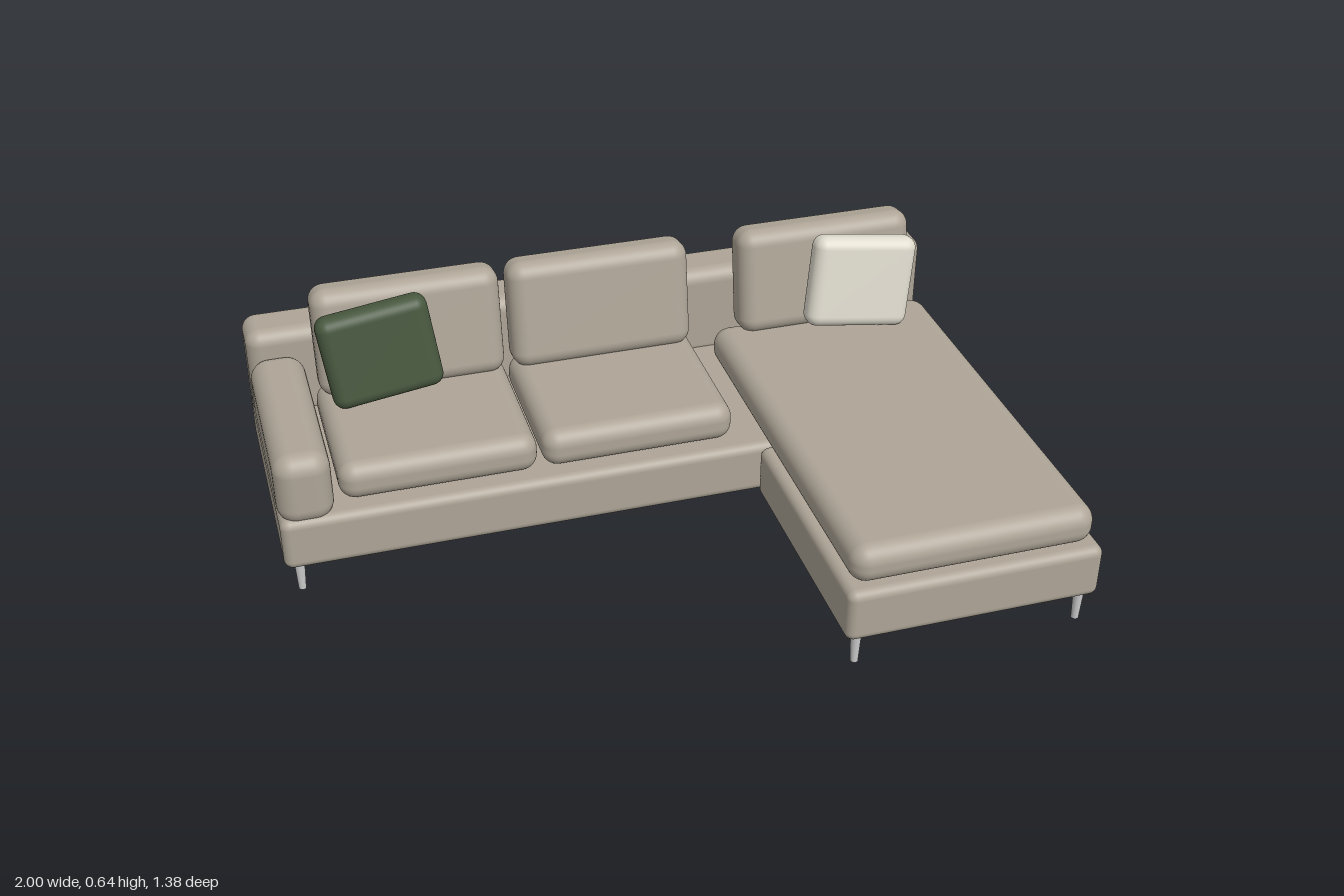
import * as THREE from 'three';
import { RoundedBoxGeometry } from 'three/addons/geometries/RoundedBoxGeometry.js';

const fabric = new THREE.MeshStandardMaterial({ color: 0xaea597 });
const green = new THREE.MeshStandardMaterial({ color: 0x48583f });
const cream = new THREE.MeshStandardMaterial({ color: 0xdedacd });
const grey = new THREE.MeshStandardMaterial({ color: 0xcccccc });

export function createModel() {
  const sofa = new THREE.Group();
  sofa.name = 'cornerSofa';

  function add(name, geometry, material, x, y, z) {
    const mesh = new THREE.Mesh(geometry, material);
    mesh.name = name;
    mesh.position.set(x, y, z);
    sofa.add(mesh);
    return mesh;
  }

  // Upholstered block given by its extents on each axis
  function block(name, [x0, x1], [y0, y1], [z0, z1], radius) {
    const geometry = new RoundedBoxGeometry(x1 - x0, y1 - y0, z1 - z0, 5, radius);
    return add(name, geometry, fabric, (x0 + x1) / 2, (y0 + y1) / 2, (z0 + z1) / 2);
  }

  // Frame
  block('mainBase', [-1, 1], [0.087, 0.24], [-0.69, 0.003], 0.025);
  block('chaiseBase', [0.305, 1], [0.087, 0.24], [0.003, 0.69], 0.025);
  block('backrest', [-1, 1], [0.21, 0.492], [-0.69, -0.54], 0.04);
  block('armrest', [-1, -0.85], [0.215, 0.423], [-0.56, 0], 0.052);

  // Seat cushions
  block('rightSeatCushion', [-0.832, -0.298], [0.238, 0.348], [-0.51, -0.04], 0.045);
  block('middleSeatCushion', [-0.285, 0.249], [0.238, 0.348], [-0.51, -0.04], 0.045);
  block('chaiseCushion', [0.32, 0.98], [0.238, 0.348], [-0.485, 0.67], 0.048);

  // Back cushions, leaning backwards
  const backGeometry = new RoundedBoxGeometry(0.52, 0.312, 0.118, 5, 0.045);
  [['right', -0.563], ['middle', -0.02], ['left', 0.65]].forEach(([side, x]) => {
    const cushion = add(side + 'BackCushion', backGeometry, fabric, x, 0.487, -0.475);
    cushion.rotation.x = -0.15;
  });

  // Loose pillows, leaning on the back cushions and turned in their own plane
  const pillowGeometry = new RoundedBoxGeometry(0.308, 0.268, 0.08, 5, 0.034);
  [['greenPillow', green, -0.658, 0.13], ['creamPillow', cream, 0.73, -0.14]].forEach(([name, material, x, roll]) => {
    const pillow = add(name, pillowGeometry, material, x, 0.493, -0.368);
    pillow.rotation.set(-0.15, 0, roll);
  });

  // Tapered legs
  const legGeometry = new THREE.CylinderGeometry(0.015, 0.01, 0.1, 20);
  [[-0.96, -0.652], [0.96, -0.652], [-0.96, -0.036], [0.343, 0.655], [0.96, 0.655]].forEach(([x, z], i) => {
    add('leg' + (i + 1), legGeometry, grey, x, 0.05, z);
  });

  return sofa;
}
